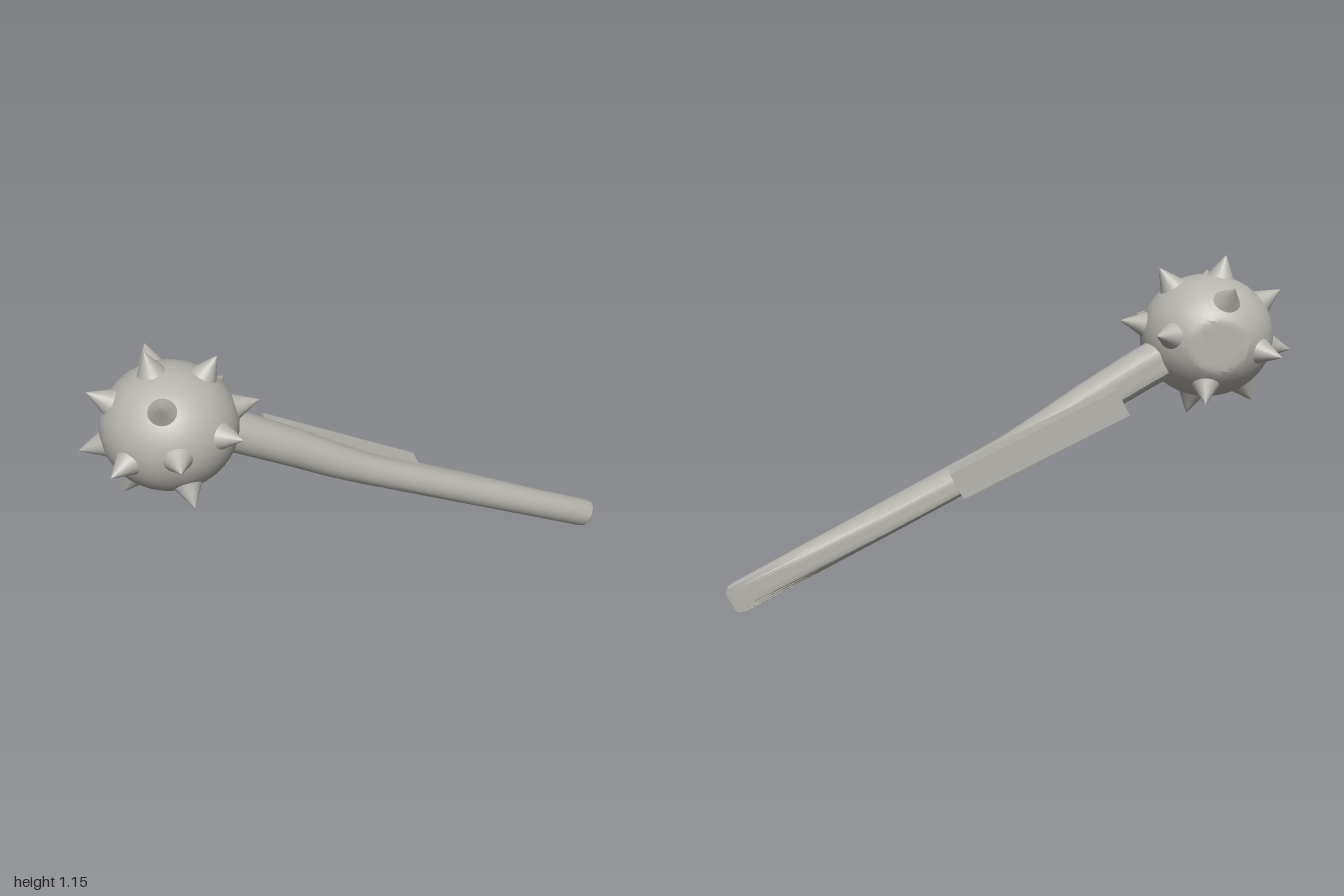
import * as THREE from 'three';
import { toCreasedNormals } from 'three/addons/utils/BufferGeometryUtils.js';

const stone = new THREE.MeshStandardMaterial({ color: 0xb5b3ac });
stone.name = 'warm grey';

function part(name, geometry) {
  const mesh = new THREE.Mesh(geometry, stone);
  mesh.name = name;
  return mesh;
}

// Spiked ball, flattened where it rests on its back
function makeHead() {
  const head = new THREE.Group();
  head.name = 'spikedHead';
  head.position.set(-0.687, 0.875, 0);
  head.scale.y = 0.92;
  const tilted = new THREE.Group();
  tilted.name = 'tiltedHead';
  tilted.rotation.z = 0.2;
  head.add(tilted);

  const ball = new THREE.SphereGeometry(0.233, 56, 40);
  const pos = ball.attributes.position;
  for (let i = 0; i < pos.count; i++) pos.setZ(i, Math.max(pos.getZ(i), -0.211));
  tilted.add(part('ball', toCreasedNormals(ball, 0.35)));

  const profile = [[0.06, 0.21], [0.043, 0.235], [0.023, 0.272], [0.008, 0.3], [0, 0.312]]
    .map(([r, y]) => new THREE.Vector2(r, y));
  const spike = new THREE.LatheGeometry(profile, 20);
  const up = new THREE.Vector3(0, 1, 0);
  // One spike along each axis and each diagonal between two axes
  for (let x = -1; x <= 1; x++) for (let y = -1; y <= 1; y++) for (let z = -1; z <= 1; z++) {
    const axes = Math.abs(x) + Math.abs(y) + Math.abs(z);
    const atFlat = z === -1 && axes === 1;
    const atHandle = x === 1 && y === -1 && z === 0;
    if (axes === 0 || axes === 3 || atFlat || atHandle) continue;
    const mesh = part('spike', spike);
    mesh.quaternion.setFromUnitVectors(up, new THREE.Vector3(x, y, z).normalize());
    tilted.add(mesh);
  }
  return head;
}

// Tapered handle: rings of [x, y, z, radius, depth of the flat back]
function makeHandle() {
  const rings = [
    [-0.62, 0.86, -0.045, 0.074, 0.074],
    [-0.45, 0.772, -0.07, 0.073, 0.073],
    [-0.25, 0.661, -0.1, 0.068, 0.068],
    [-0.1, 0.573, -0.12, 0.062, 0.066],
    [0.02, 0.507, -0.137, 0.056, 0.07],
    [0.1, 0.468, -0.152, 0.055, 0.075],
    [0.25, 0.396, -0.177, 0.055, 0.08],
    [0.45, 0.3, -0.213, 0.055, 0.073],
    [0.7, 0.18, -0.257, 0.055, 0.048],
    [0.94, 0.064, -0.3, 0.055, 0.019],
    [0.963, 0.053, -0.303, 0.051, 0.016],
    [0.975, 0.047, -0.304, 0.038, 0.014],
    [0.978, 0.046, -0.304, 0.001, 0.001],
  ];
  const sides = 32, points = [], index = [];
  for (const [x, y, z, r, back] of rings) {
    for (let j = 0; j < sides; j++) {
      const a = (j / sides) * Math.PI * 2;
      const s = Math.sin(a) * r, c = Math.cos(a);
      const dz = c > 0 ? c * r : Math.max(c * Math.max(r, back * 1.15), -back);
      points.push(x + s * 0.45, y + s * 0.89, z + dz);
    }
  }
  for (let i = 0; i < rings.length - 1; i++) {
    for (let j = 0; j < sides; j++) {
      const a = i * sides + j, b = i * sides + (j + 1) % sides;
      index.push(a, a + sides, b, a + sides, b + sides, b);
    }
  }
  const geometry = new THREE.BufferGeometry();
  geometry.setAttribute('position', new THREE.Float32BufferAttribute(points, 3));
  geometry.setIndex(index);
  return part('handle', toCreasedNormals(geometry, 0.5));
}

// Flat block along the back of the handle, tapering with its slope
function makeBackPlate() {
  const box = new THREE.BoxGeometry(1, 1, 1);
  const pos = box.attributes.position;
  for (let i = 0; i < pos.count; i++) {
    const t = pos.getX(i) + 0.5, v = pos.getY(i) * 0.1;
    const back = pos.getZ(i) < 0;
    pos.setXYZ(i,
      THREE.MathUtils.lerp(-0.358, 0.21, t) + v * 0.45,
      THREE.MathUtils.lerp(0.692, 0.42, t) + v * 0.89,
      back ? THREE.MathUtils.lerp(-0.237, -0.271, t) : THREE.MathUtils.lerp(-0.12, -0.19, t));
  }
  const flat = box.toNonIndexed();
  flat.computeVertexNormals();
  return part('backPlate', flat);
}

export function createModel() {
  const model = new THREE.Group();
  model.name = 'spikedMace';
  model.add(makeHead(), makeHandle(), makeBackPlate());
  return model;
}
